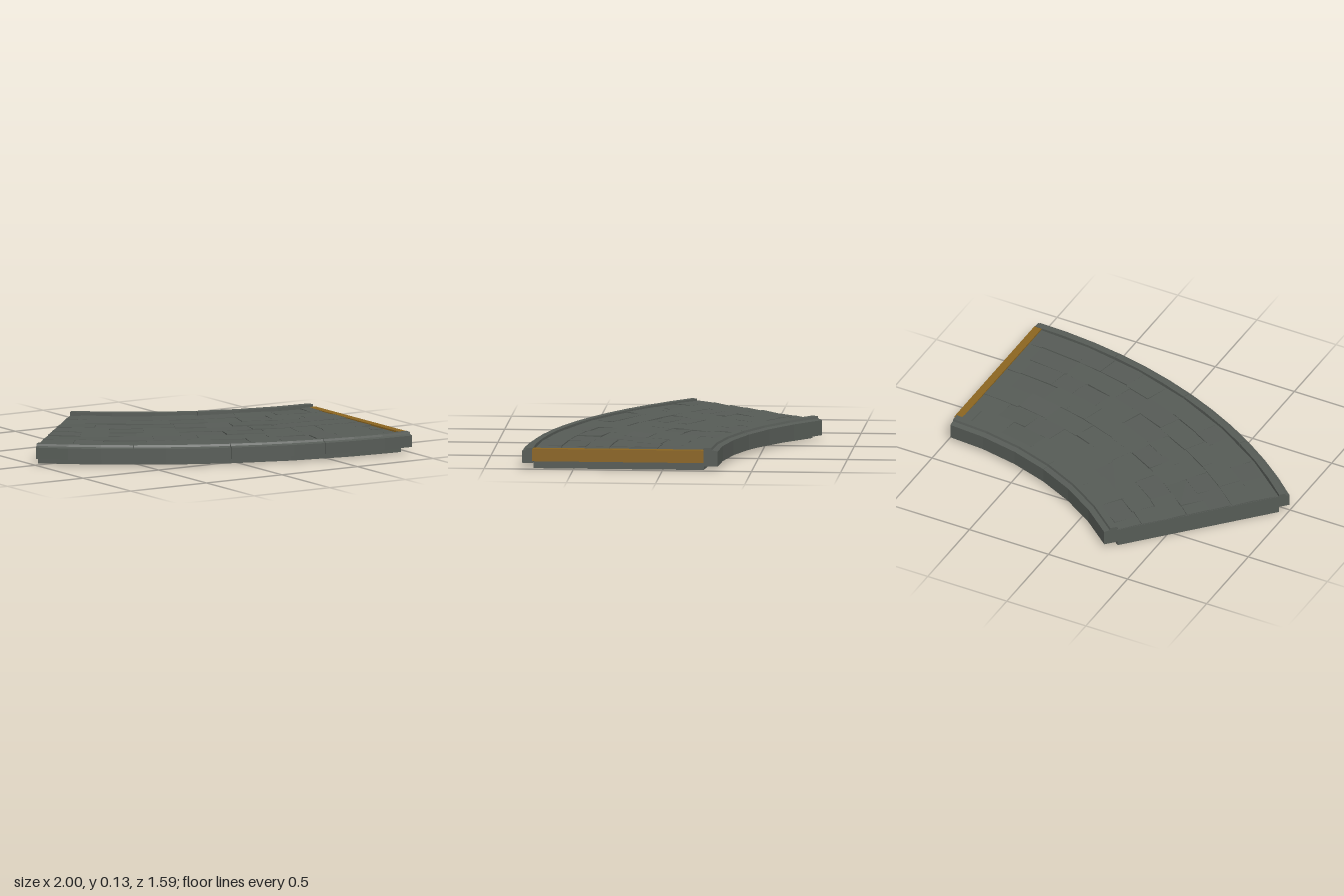
import * as THREE from 'three';
import { mergeGeometries } from 'three/addons/utils/BufferGeometryUtils.js';

const CX = 1, CZ = -2.137;          // centre of the bend
const SWEEP = THREE.MathUtils.degToRad(43.05);
const R_IN = 1.907, R_OUT = 2.862;  // edges of the paved deck

// Sweeps a [radius, y] section (counter-clockwise) around the bend; the section may morph to endSection.
function sweep(section, a0, a1, steps, maxX = 1, endSection = section) {
  const pos = [];
  const point = (i, s) => {
    const t = s / steps, a = a0 + (a1 - a0) * t;
    const p = section[i % section.length], q = endSection[i % section.length];
    const r = p[0] + (q[0] - p[0]) * t, y = p[1] + (q[1] - p[1]) * t;
    return [Math.min(CX - r * Math.sin(a), maxX), y, CZ + r * Math.cos(a)];
  };
  const tri = (a, b, c) => pos.push(...a, ...b, ...c);
  const n = section.length;
  for (let s = 0; s < steps; s++) {
    for (let i = 0; i < n; i++) {
      tri(point(i, s), point(i + 1, s), point(i + 1, s + 1));
      tri(point(i, s), point(i + 1, s + 1), point(i, s + 1));
    }
  }
  for (let i = 1; i < n - 1; i++) {
    tri(point(0, 0), point(i + 1, 0), point(i, 0));
    tri(point(0, steps), point(i, steps), point(i + 1, steps));
  }
  const geo = new THREE.BufferGeometry();
  geo.setAttribute('position', new THREE.Float32BufferAttribute(pos, 3));
  geo.computeVertexNormals();
  return geo;
}

export function createModel() {
  const model = new THREE.Group();
  model.name = 'curvedRoad';

  const stone = new THREE.MeshStandardMaterial({ color: 0x565b56 });
  stone.name = 'grey stone';
  const wood = new THREE.MeshStandardMaterial({ color: 0x8b6520 });
  wood.name = 'brown edging';

  const add = (name, geo, mat) => {
    const mesh = new THREE.Mesh(geo, mat);
    mesh.name = name;
    model.add(mesh);
  };

  let seed = 7;
  const rand = () => (seed = (seed * 16807) % 2147483647) / 2147483647;

  // Road bed, faceted along the bend
  add('roadBed', sweep([[R_IN, 0], [R_OUT, 0], [R_OUT, 0.106], [R_IN, 0.106]], 0, SWEEP, 6, 0.96), stone);

  // Paving: staggered arc rows of slightly tilted slabs
  const slabs = [];
  const rows = 7, rowWidth = (R_OUT - R_IN - 0.024) / rows;
  for (let row = 0; row < rows; row++) {
    const r0 = R_IN + 0.006 + row * rowWidth, r1 = r0 + rowWidth;
    let a = 0.022;
    let length = 0.06 + 0.12 * rand();
    while (a < SWEEP - 0.002) {
      let end = a + length / r0;
      if (end > SWEEP - 0.03) end = SWEEP - 0.001;
      const h = 0.1095 + 0.004 * rand();
      const tiltA = 0.009 * (rand() - 0.5), tiltR = 0.006 * (rand() - 0.5);
      const wobble = 0.016 * (rand() - 0.5);
      const inner = row === 0 ? r0 : r0 + wobble;
      const outer = row === rows - 1 ? r1 : r1 + wobble;
      const section = (t) => [
        [inner, 0.09], [outer, 0.09],
        [outer, h + t * tiltA + tiltR], [inner, h + t * tiltA - tiltR],
      ];
      slabs.push(sweep(section(-0.5), a, end, 1, 0.958, section(0.5)));
      a = end;
      length = 0.14 + 0.11 * rand();
    }
  }
  add('pavingSlabs', mergeGeometries(slabs), stone);

  // Kerbs with a stepped lip, laid in separate lengths
  const kerb = (name, section, pieces, steps, maxX) => {
    const seam = 0.0006;
    for (let i = 0; i < pieces; i++) {
      const a0 = (SWEEP * i) / pieces + (i ? seam : 0);
      const a1 = (SWEEP * (i + 1)) / pieces - (i < pieces - 1 ? seam : 0);
      add(name + (i + 1), sweep(section, a0, a1, steps, maxX), stone);
    }
  };
  kerb('outerKerb', [
    [2.864, 0.035], [2.926, 0.035], [2.926, 0.1], [2.904, 0.106], [2.9, 0.118], [2.864, 0.118],
  ], 4, 3, 0.995);
  kerb('innerKerb', [
    [1.906, 0.025], [1.906, 0.128], [1.864, 0.128], [1.86, 0.116], [1.828, 0.11], [1.828, 0.025],
  ], 2, 3, 0.985);

  // Straight edging board at the end
  const board = new THREE.BoxGeometry(0.045, 0.07, 0.96);
  board.translate(0.9775, 0.08, 0.25);
  add('endBoard', board, wood);

  return model;
}
